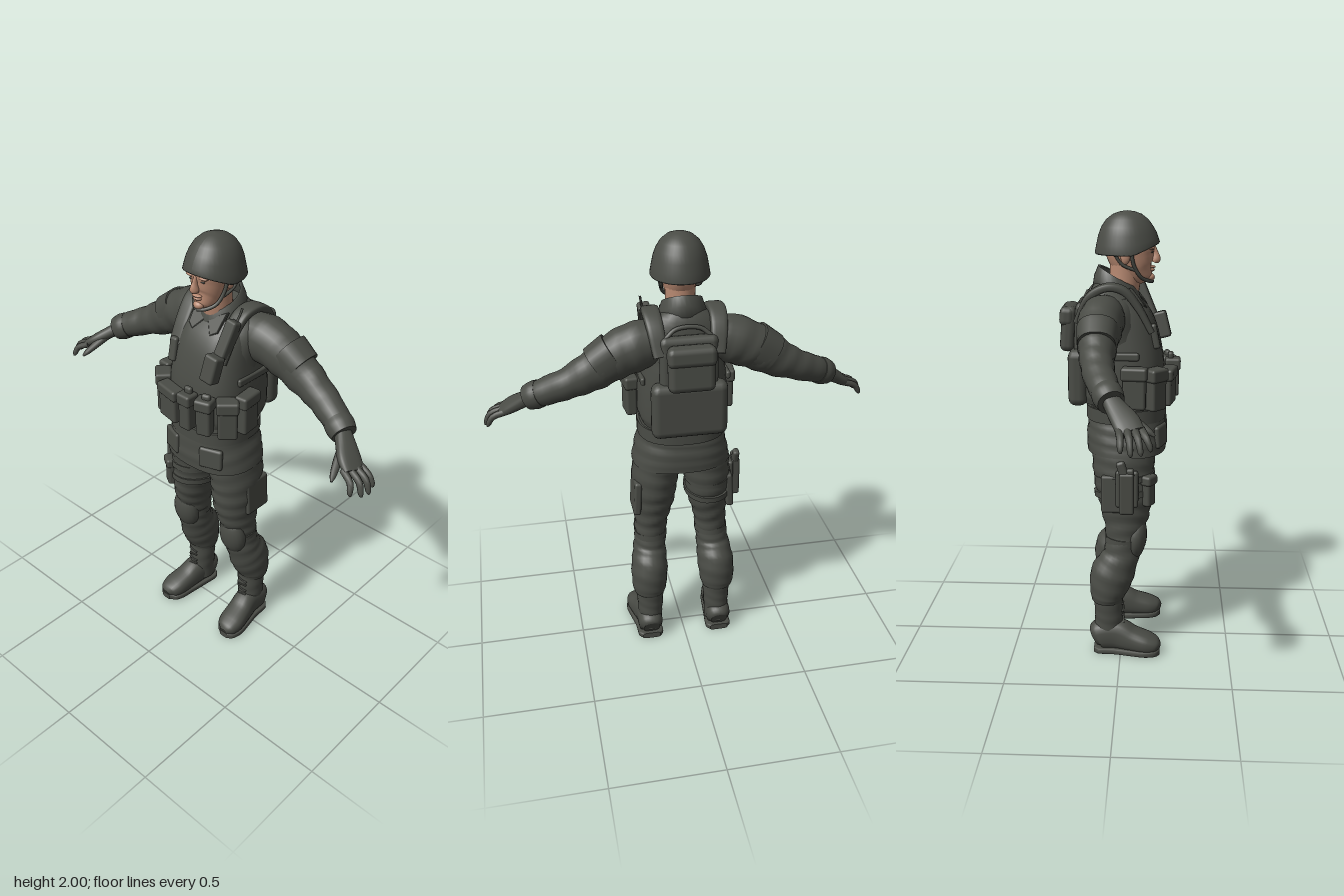
import * as THREE from 'three';
import { RoundedBoxGeometry } from 'three/addons/geometries/RoundedBoxGeometry.js';

const fabric = new THREE.MeshStandardMaterial({ color: 0x4a4c46 });
fabric.name = 'dark olive fabric';
const skin = new THREE.MeshStandardMaterial({ color: 0xb98a72 });
skin.name = 'skin';

const V = (x, y, z) => new THREE.Vector3(x, y, z);

// Smooth closed body through sections [x, y, z, radiusU, radiusV]; radiusV lies along ref.
function loft(secs, { ref = V(0, 0, 1), seg = 24, sub = 5, pow = 2, fold = 0 } = {}) {
  const centre = new THREE.CatmullRomCurve3(secs.map(s => V(s[0], s[1], s[2])));
  const radii = new THREE.CatmullRomCurve3(secs.map(s => V(s[3], s[4], 0)), false, 'catmullrom', 0.5);
  const n = (secs.length - 1) * sub, pos = [], idx = [];
  const round = c => Math.sign(c) * Math.abs(c) ** (2 / pow);
  for (let i = 0; i <= n; i++) {
    const p = centre.getPoint(i / n), r = radii.getPoint(i / n), t = centre.getTangent(i / n);
    const v = ref.clone().addScaledVector(t, -ref.dot(t)).normalize();
    const u = v.clone().cross(t);
    for (let j = 0; j < seg; j++) {
      const a = j / seg * Math.PI * 2;
      const k = 1 + fold * Math.sin(i * 1.5 + 2.2 * Math.sin(a + i * 0.15)) * Math.sin(Math.PI * i / n);
      const q = p.clone().addScaledVector(u, r.x * k * round(Math.cos(a))).addScaledVector(v, r.y * k * round(Math.sin(a)));
      pos.push(q.x, q.y, q.z);
    }
  }
  for (let i = 0; i < n; i++) for (let j = 0; j < seg; j++) {
    const a = i * seg + j, b = i * seg + (j + 1) % seg;
    idx.push(a, b, a + seg, b, b + seg, a + seg);
  }
  // end caps with their own vertices
  for (const end of [0, n]) {
    const start = pos.length / 3, c = centre.getPoint(end / n);
    pos.push(...pos.slice(end * seg * 3, (end + 1) * seg * 3), c.x, c.y, c.z);
    for (let j = 0; j < seg; j++) {
      const a = start + j, b = start + (j + 1) % seg;
      idx.push(start + seg, ...(end ? [a, b] : [b, a]));
    }
  }
  const g = new THREE.BufferGeometry();
  g.setAttribute('position', new THREE.Float32BufferAttribute(pos, 3));
  g.setIndex(idx);
  g.computeVertexNormals();
  return g;
}

export function createModel() {
  const model = new THREE.Group();
  model.name = 'soldier';
  const add = (name, geo, mat = fabric, parent = model) => {
    const m = new THREE.Mesh(geo, mat);
    m.name = name;
    parent.add(m);
    return m;
  };
  const box = (name, x, y, z, w, h, d, ry = 0, rz = 0, rx = 0, r = 0.012) => {
    const m = add(name, new RoundedBoxGeometry(w, h, d, 2, Math.min(r, w / 2.1, h / 2.1, d / 2.1)));
    m.position.set(x, y, z);
    m.rotation.set(rx, ry, rz);
    return m;
  };
  // pouch with an overhanging lid
  const pouch = (name, x, y, z, w, h, d, ry = 0) => {
    box(name, x, y, z, w, h, d, ry);
    box(name + 'Flap', x, y + h * 0.36, z, w + 0.012, h * 0.32, d + 0.014, ry);
  };
  const ball = (name, x, y, z, rx, ry, rz, mat = fabric) => {
    const m = add(name, new THREE.SphereGeometry(1, 20, 14), mat);
    m.position.set(x, y, z);
    m.scale.set(rx, ry, rz);
    return m;
  };
  const tube = (name, pts, r) =>
    add(name, new THREE.TubeGeometry(new THREE.CatmullRomCurve3(pts.map(p => V(...p))), 24, r, 8));

  // jacket, skirt and belt
  add('jacket', loft([[0, 1.1, 0.02, 0.19, 0.165], [0, 1.3, 0, 0.18, 0.16], [0, 1.45, -0.02, 0.185, 0.145],
    [0, 1.57, -0.04, 0.2, 0.12], [0, 1.64, -0.045, 0.16, 0.1], [0, 1.69, -0.035, 0.085, 0.08]], { pow: 2.3 }));
  add('jacketSkirt', loft([[0, 0.955, 0.02, 0.225, 0.178], [0, 1.02, 0.02, 0.212, 0.18], [0, 1.1, 0.02, 0.193, 0.172],
    [0, 1.18, 0.01, 0.185, 0.17]], { pow: 2.4, seg: 32, fold: 0.012 }));
  add('belt', loft([[0, 1.1, 0.018, 0.197, 0.178], [0, 1.16, 0.018, 0.197, 0.178]], { pow: 2.4, seg: 32 }));
  for (const s of [1, -1]) box('skirtPocket', s * 0.115, 1.035, 0.175, 0.11, 0.1, 0.025, s * 0.35, 0, -0.05);

  // armoured vest with shoulder straps
  add('vest', loft([[0, 1.18, 0, 0.185, 0.18], [0, 1.22, 0, 0.196, 0.19], [0, 1.35, -0.003, 0.193, 0.188],
    [0, 1.48, -0.015, 0.18, 0.17], [0, 1.57, -0.035, 0.168, 0.142], [0, 1.63, -0.045, 0.15, 0.11]], { pow: 2.8, seg: 36 }));
  for (const s of [1, -1]) {
    add('shoulderStrap', loft([[s * 0.125, 1.5, 0.13, 0.014, 0.034], [s * 0.13, 1.6, 0.075, 0.016, 0.036],
      [s * 0.135, 1.675, 0.01, 0.018, 0.038], [s * 0.14, 1.69, -0.06, 0.018, 0.038],
      [s * 0.135, 1.65, -0.135, 0.018, 0.036], [s * 0.12, 1.54, -0.19, 0.016, 0.032]], { ref: V(1, 0, 0), pow: 3.5 }));
    box('vestSideStrap', s * 0.186, 1.4, -0.02, 0.02, 0.035, 0.2);
  }

  // front and side pouches
  pouch('wideFrontPouch', -0.092, 1.255, 0.205, 0.12, 0.16, 0.05, -0.2);
  pouch('magazinePouch', 0.027, 1.27, 0.225, 0.062, 0.17, 0.055);
  pouch('magazinePouch', 0.11, 1.265, 0.205, 0.068, 0.17, 0.055, 0.3);
  box('magazine', 0.027, 1.36, 0.215, 0.04, 0.05, 0.025);
  box('magazine', 0.115, 1.35, 0.2, 0.042, 0.05, 0.025, 0.3);
  for (const s of [1, -1]) {
    pouch('sidePouch', s * 0.19, 1.26, 0.15, 0.085, 0.18, 0.06, s * 0.75);
    pouch('hipPouch', s * 0.222, 1.27, 0.06, 0.05, 0.18, 0.1, s * 0.1);
  }
  // chest gear
  box('chestTab', -0.125, 1.48, 0.145, 0.04, 0.11, 0.03, 0, 0, -0.2);
  box('chestPouch', 0.125, 1.49, 0.175, 0.07, 0.12, 0.06, 0, -0.1, -0.25);
  box('radio', 0.14, 1.6, 0.1, 0.055, 0.17, 0.05, 0, -0.12, -0.4);
  tube('antenna', [[0.155, 1.66, 0.07], [0.163, 1.7, 0.05], [0.168, 1.73, 0.04]], 0.005);

  // back panel and pack
  box('backPanel', 0, 1.295, -0.19, 0.33, 0.25, 0.085, 0, 0, 0, 0.035);
  box('upperBackPanel', 0, 1.5, -0.175, 0.25, 0.24, 0.06, 0, 0, 0.05, 0.028);
  box('backPack', 0, 1.5, -0.233, 0.2, 0.2, 0.066, 0, 0, 0.08, 0.028);
  box('backPackFlap', 0, 1.555, -0.238, 0.208, 0.085, 0.066, 0, 0, 0.08, 0.026);
  tube('dragHandle', [[-0.1, 1.61, -0.17], [-0.05, 1.645, -0.155], [0.05, 1.645, -0.155], [0.1, 1.61, -0.17]], 0.01);

  // neck, collar and its points
  add('neck', loft([[0, 1.62, -0.005, 0.068, 0.068], [0, 1.7, 0.01, 0.064, 0.068], [0, 1.8, 0.015, 0.066, 0.07]]), skin);
  const collar = new THREE.LatheGeometry([[0.075, 0.085], [0.084, 0], [0.112, -0.02], [0.104, 0.035], [0.086, 0.088], [0.075, 0.085]]
    .map(p => new THREE.Vector2(...p)), 32);
  const cp = collar.attributes.position;
  for (let i = 0; i < cp.count; i++) cp.setY(i, cp.getY(i) - cp.getZ(i) * 0.55);
  collar.computeVertexNormals();
  add('collar', collar).position.set(0, 1.635, -0.02);
  for (const s of [1, -1]) {
    const tri = new THREE.Shape([[0.012, 0.035], [0.085, 0.09], [0.078, 0.0], [0.05, -0.02]]
      .map(p => new THREE.Vector2(p[0] * s, p[1])));
    const flap = add('collarPoint', new THREE.ExtrudeGeometry(tri, { depth: 0.012, bevelSize: 0.003, bevelThickness: 0.003, bevelSegments: 1 }));
    flap.position.set(0, 1.6, 0.085);
    flap.rotation.x = -0.65;
  }

  // head and face
  add('head', loft([[0, 1.697, 0.095, 0.02, 0.025], [0, 1.712, 0.088, 0.042, 0.047], [0, 1.75, 0.06, 0.063, 0.08],
    [0, 1.8, 0.04, 0.074, 0.1], [0, 1.85, 0.03, 0.078, 0.108], [0, 1.92, 0.02, 0.07, 0.095]], { pow: 2.2 }), skin);
  add('nose', loft([[0, 1.782, 0.137, 0.017, 0.014], [0, 1.795, 0.142, 0.017, 0.022], [0, 1.82, 0.137, 0.01, 0.018],
    [0, 1.85, 0.13, 0.008, 0.012]], { seg: 12 }), skin);
  ball('upperLip', 0, 1.762, 0.128, 0.025, 0.006, 0.015, skin);
  ball('lowerLip', 0, 1.749, 0.125, 0.021, 0.007, 0.015, skin);
  ball('chin', 0, 1.718, 0.118, 0.025, 0.018, 0.022, skin);
  for (const s of [1, -1]) {
    ball('brow', s * 0.033, 1.845, 0.125, 0.026, 0.008, 0.014, skin);
    ball('eye', s * 0.032, 1.828, 0.127, 0.011, 0.004, 0.006);
    ball('ear', s * 0.08, 1.81, 0.015, 0.012, 0.032, 0.02, skin);
    tube('chinStrap', [[s * 0.09, 1.85, 0.04], [s * 0.08, 1.78, 0.05], [s * 0.062, 1.725, 0.08], [s * 0.03, 1.704, 0.115], [0, 1.7, 0.13]], 0.008);
    tube('rearStrap', [[s * 0.09, 1.84, -0.04], [s * 0.083, 1.78, 0.0], [s * 0.076, 1.755, 0.055]], 0.007);
  }

  // helmet: turned dome, longer front to back, rim raised over the face
  const dome = new THREE.LatheGeometry([[0.095, 0.05], [0.112, 0.004], [0.123, 0], [0.127, 0.006], [0.121, 0.04], [0.113, 0.08],
    [0.101, 0.115], [0.082, 0.146], [0.056, 0.168], [0.028, 0.179], [0, 0.183]].map(p => new THREE.Vector2(...p)), 40);
  const dp = dome.attributes.position;
  for (let i = 0; i < dp.count; i++) {
    const y = dp.getY(i), z = dp.getZ(i);
    dp.setXYZ(i, dp.getX(i), y + Math.max(0, z / 0.127 - 0.2) * 0.06 * Math.max(0, 1 - y / 0.12), z * 1.11);
  }
  dome.computeVertexNormals();
  add('helmet', dome).position.set(0, 1.817, 0.02);

  for (const s of [1, -1]) {
    // sleeve, cuff and elbow patch
    add('sleeve', loft([[s * 0.12, 1.57, -0.07, 0.09, 0.09], [s * 0.2, 1.555, -0.08, 0.106, 0.098], [s * 0.3, 1.515, -0.085, 0.1, 0.09],
      [s * 0.4, 1.455, -0.085, 0.086, 0.075], [s * 0.5, 1.405, -0.073, 0.068, 0.066], [s * 0.6, 1.36, -0.042, 0.06, 0.06],
      [s * 0.67, 1.325, -0.012, 0.047, 0.047]], { fold: 0.035 }));
    add('cuff', loft([[s * 0.615, 1.352, -0.036, 0.06, 0.06], [s * 0.64, 1.34, -0.025, 0.062, 0.062], [s * 0.67, 1.325, -0.012, 0.054, 0.054]]));
    add('sleevePocket', loft([[s * 0.3, 1.53, -0.088, 0.095, 0.088], [s * 0.38, 1.478, -0.088, 0.088, 0.08]], { pow: 2.4 }));

    // gloved hand
    add('palm', loft([[s * 0.655, 1.333, -0.018, 0.03, 0.034], [s * 0.7, 1.3, 0.015, 0.028, 0.045],
      [s * 0.745, 1.268, 0.048, 0.025, 0.054], [s * 0.785, 1.24, 0.07, 0.018, 0.05]], { pow: 2.5 }));
    const fingers = [[0.785, 0.028, 0.848, 1.18, 0.03], [0.795, 0.058, 0.858, 1.17, 0.068], [0.79, 0.086, 0.848, 1.172, 0.105], [0.775, 0.11, 0.82, 1.18, 0.14]];
    for (const [x, z, tx, ty, tz] of fingers)
      add('finger', loft([[s * (x - 0.02), 1.25, z - 0.008, 0.015, 0.016], [s * (x + tx + 0.02) / 2, 1.225, (z + tz) / 2, 0.014, 0.014],
        [s * tx, ty + 0.012, tz, 0.011, 0.011], [s * (tx + 0.005), ty, tz + 0.002, 0.004, 0.004]], { seg: 10, sub: 3 }));
    add('thumb', loft([[s * 0.695, 1.295, 0.03, 0.02, 0.02], [s * 0.715, 1.26, 0.09, 0.017, 0.018],
      [s * 0.732, 1.23, 0.135, 0.013, 0.013], [s * 0.74, 1.215, 0.155, 0.005, 0.005]], { ref: V(1, 0, 0), seg: 10, sub: 3 }));

    // trouser leg bloused over the boot
    add('trouserLeg', loft([[s * 0.167, 0.255, -0.06, 0.072, 0.07], [s * 0.167, 0.285, -0.06, 0.081, 0.08], [s * 0.163, 0.38, -0.04, 0.087, 0.1],
      [s * 0.155, 0.47, 0, 0.078, 0.083], [s * 0.147, 0.56, 0.012, 0.074, 0.082], [s * 0.14, 0.65, 0.02, 0.08, 0.102],
      [s * 0.13, 0.75, 0.02, 0.098, 0.123], [s * 0.124, 0.85, 0.012, 0.106, 0.135], [s * 0.113, 0.95, 0.01, 0.108, 0.14],
      [s * 0.1, 1.02, 0.01, 0.1, 0.14]], { fold: 0.035, sub: 6 }));
    ball('kneePad', s * 0.15, 0.555, 0.065, 0.07, 0.105, 0.052).rotation.x = 0.15;
    add('kneeStrap', loft([[s * 0.147, 0.535, 0.012, 0.077, 0.084], [s * 0.147, 0.565, 0.014, 0.077, 0.084]]));
    box('cargoPocket', s * 0.215, 0.79, -0.015, 0.035, 0.17, 0.14, 0, s * 0.06);

    // boot
    add('bootShaft', loft([[s * 0.168, 0.05, -0.055, 0.058, 0.065], [s * 0.166, 0.13, -0.055, 0.059, 0.066], [s * 0.165, 0.2, -0.055, 0.063, 0.066],
      [s * 0.165, 0.28, -0.058, 0.066, 0.068]], { fold: 0.02 }));
    const foot = [[0.17, 0.065, -0.123, 0.04, 0.045], [0.17, 0.077, -0.1, 0.058, 0.067], [0.175, 0.085, -0.02, 0.057, 0.074],
      [0.185, 0.066, 0.05, 0.06, 0.058], [0.195, 0.052, 0.12, 0.062, 0.046], [0.2, 0.043, 0.162, 0.048, 0.034], [0.2, 0.036, 0.182, 0.02, 0.016]];
    add('bootFoot', loft(foot.map(([x, ...r]) => [s * x, ...r]), { ref: V(0, 1, 0), pow: 2.4 }));
    add('bootSole', loft(foot.map(([x, , z, w]) => [s * x, 0.015, z, w + 0.003, 0.015]), { ref: V(0, 1, 0), pow: 5 }));
    for (let i = 0; i < 5; i++)
      box('bootLace', s * 0.168, 0.125 + i * 0.028, 0.013 - i * 0.001, 0.05, 0.007, 0.012, 0, i % 2 ? 0.2 : -0.2, 0, 0.003);
  }

  // thigh holster with straps, on the right leg
  for (const y of [0.765, 0.835])
    add('thighStrap', loft([[-0.127, y, 0.016, 0.109, 0.136], [-0.126, y + 0.028, 0.014, 0.11, 0.137]]));
  box('holsterPlate', -0.235, 0.82, 0.03, 0.025, 0.17, 0.1);
  box('holster', -0.262, 0.81, 0.03, 0.044, 0.19, 0.065);
  box('pistolGrip', -0.262, 0.915, 0.012, 0.03, 0.085, 0.04, 0, 0, -0.3);
  box('pistolSlide', -0.262, 0.9, 0.045, 0.03, 0.05, 0.035);
  pouch('thighPouch', -0.19, 0.8, 0.125, 0.06, 0.14, 0.04, -0.55);

  return model;
}
